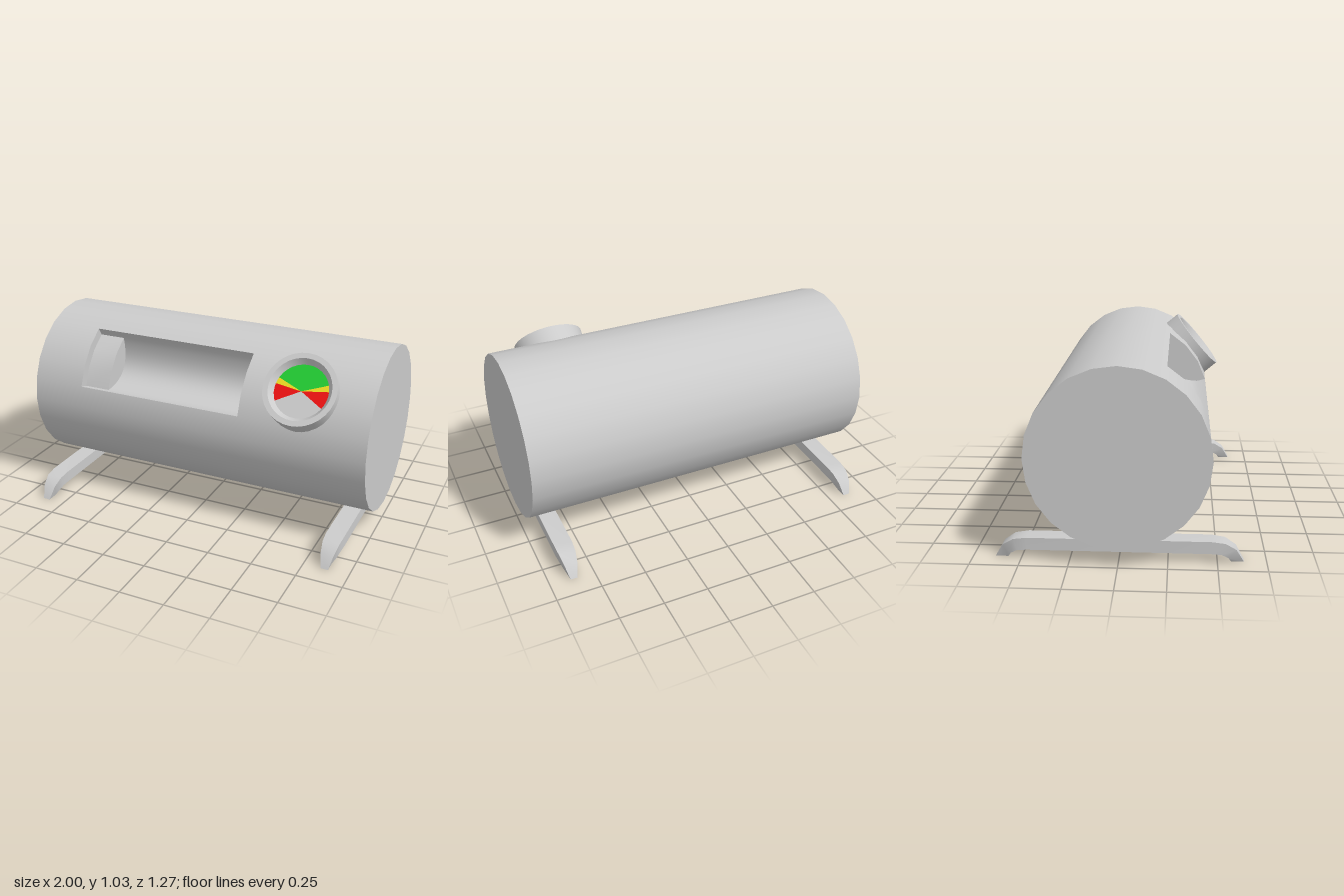
import * as THREE from 'three';
import { toCreasedNormals } from 'three/addons/utils/BufferGeometryUtils.js';

const R = 0.465, INNER = 0.415, AXIS_Y = 0.563;
const WIN_LEFT = -0.69, WIN_RIGHT = 0.285, PLUG_END = -0.54;
const rad = THREE.MathUtils.degToRad;
const LOW = rad(15), HIGH = rad(60);

const paint = (color = 0xcccccc, extra = {}) => new THREE.MeshStandardMaterial({ color, ...extra });

function addMesh(parent, name, geometry, material = paint()) {
  const mesh = new THREE.Mesh(geometry, material);
  mesh.name = name;
  parent.add(mesh);
  return mesh;
}

// Point in the (z, y) plane around the drum axis
const polar = (r, a) => new THREE.Vector2(r * Math.cos(a), r * Math.sin(a));

// Sheet that sweeps a (z, y) profile from x0 to x1
function sweepAlongX(points, x0, x1) {
  const pos = [], index = [];
  points.forEach((p, i) => {
    pos.push(x0, p.y, p.x, x1, p.y, p.x);
    if (i) {
      const a = 2 * i - 2;
      index.push(a, a + 2, a + 1, a + 1, a + 2, a + 3);
    }
  });
  const g = new THREE.BufferGeometry();
  g.setAttribute('position', new THREE.Float32BufferAttribute(pos, 3));
  g.setIndex(index);
  return toCreasedNormals(g, rad(35));
}

function createDrum() {
  const drum = new THREE.Group();
  drum.name = 'drum';
  drum.position.y = AXIS_Y;

  // Three lengths of the 24-sided shell; the middle one leaves the window open
  const shell = (name, x0, x1, sides, start, length, open) => {
    const g = new THREE.CylinderGeometry(R, R, x1 - x0, sides, 1, open, start, length);
    g.rotateZ(Math.PI / 2).translate((x0 + x1) / 2, 0, 0);
    addMesh(drum, name, g);
  };
  shell('drumRightEnd', -1, WIN_LEFT, 24, 0, 2 * Math.PI, false);
  shell('drumMiddle', WIN_LEFT, WIN_RIGHT, 21, HIGH, rad(315), true);
  shell('drumLeftEnd', WIN_RIGHT, 1, 24, 0, 2 * Math.PI, false);

  // Window lips and the hollow trough behind them
  const hollow = new THREE.QuadraticBezierCurve(
    polar(INNER, HIGH), polar(0.19, (LOW + HIGH) / 2), polar(INNER, LOW)).getPoints(14);
  addMesh(drum, 'windowRecess',
    sweepAlongX([polar(R, HIGH), ...hollow, polar(R, LOW)], WIN_LEFT, WIN_RIGHT),
    paint(0xcccccc, { side: THREE.DoubleSide }));

  // Lens-shaped slider filling one end of the window
  const front = [15, 30, 45, 60].map(d => polar(INNER, rad(d)));
  const lens = new THREE.Shape([...front, ...hollow.slice(1, -1)]);
  const slider = new THREE.ExtrudeGeometry(lens, { depth: PLUG_END - WIN_LEFT, bevelEnabled: false });
  slider.rotateY(-Math.PI / 2).translate(PLUG_END, 0, 0);
  addMesh(drum, 'windowSlider', toCreasedNormals(slider, rad(35)));
  return drum;
}

function createGauge() {
  const gauge = new THREE.Group();
  gauge.name = 'gauge';
  gauge.position.set(0.612, 0.88, 0.4025);
  gauge.rotation.x = rad(50);

  // Housing with a raised rim and a sloped inner wall
  const profile = [[0.2, -0.115], [0.2, 0], [0.171, 0], [0.147, -0.034]]
    .map(([x, y]) => new THREE.Vector2(x, y));
  addMesh(gauge, 'gaugeHousing', toCreasedNormals(new THREE.LatheGeometry(profile, 32), rad(30)));

  // Dial sectors: name, colour, start angle, sweep
  const sectors = [
    ['dialGreen', 0x22cc33, 22, 136],
    ['dialYellowLeft', 0xeedd22, 8, 14],
    ['dialYellowRight', 0xeedd22, 158, 14],
    ['dialRedLeft', 0xee1111, -30, 38],
    ['dialRedRight', 0xee1111, 172, 38],
    ['dialGrey', 0xcccccc, 210, 120],
  ];
  for (const [name, color, start, sweep] of sectors) {
    const g = new THREE.CircleGeometry(0.148, Math.ceil(sweep / 11), rad(start), rad(sweep));
    g.rotateX(-Math.PI / 2).translate(0, -0.034, 0);
    addMesh(gauge, name, g, paint(color));
  }
  return gauge;
}

// Foot bar: rectangular sections that bend down and taper at both ends
function createFootGeometry() {
  // outer z, outer y, inner z, inner y, half width
  const end = [
    [0.635, 0, 0.57, 0, 0.02],
    [0.595, 0.07, 0.555, 0.025, 0.036],
    [0.54, 0.105, 0.52, 0.045, 0.046],
    [0.47, 0.115, 0.47, 0.05, 0.05],
  ];
  const other = [...end].reverse().map(([a, b, c, d, w]) => [-a, b, -c, d, w]);
  const sections = [...end, ...other];
  const pos = [], index = [];
  sections.forEach(([oz, oy, iz, iy, w], s) => {
    pos.push(-w, oy, oz, w, oy, oz, w, iy, iz, -w, iy, iz);
    if (!s) return;
    for (let k = 0; k < 4; k++) {
      const a = 4 * (s - 1) + k, b = 4 * (s - 1) + (k + 1) % 4;
      index.push(a, b, a + 4, b, b + 4, a + 4);
    }
  });
  const last = 4 * (sections.length - 1);
  index.push(0, 2, 1, 0, 3, 2, last, last + 1, last + 2, last, last + 2, last + 3);
  const g = new THREE.BufferGeometry();
  g.setAttribute('position', new THREE.Float32BufferAttribute(pos, 3));
  g.setIndex(index);
  return toCreasedNormals(g, rad(35));
}

export function createModel() {
  const model = new THREE.Group();
  model.name = 'drumWithGauge';
  model.add(createDrum(), createGauge());
  const foot = createFootGeometry();
  for (const side of [-1, 1]) {
    addMesh(model, side > 0 ? 'leftFootBar' : 'rightFootBar', foot).position.x = side * 0.866;
  }
  return model;
}
